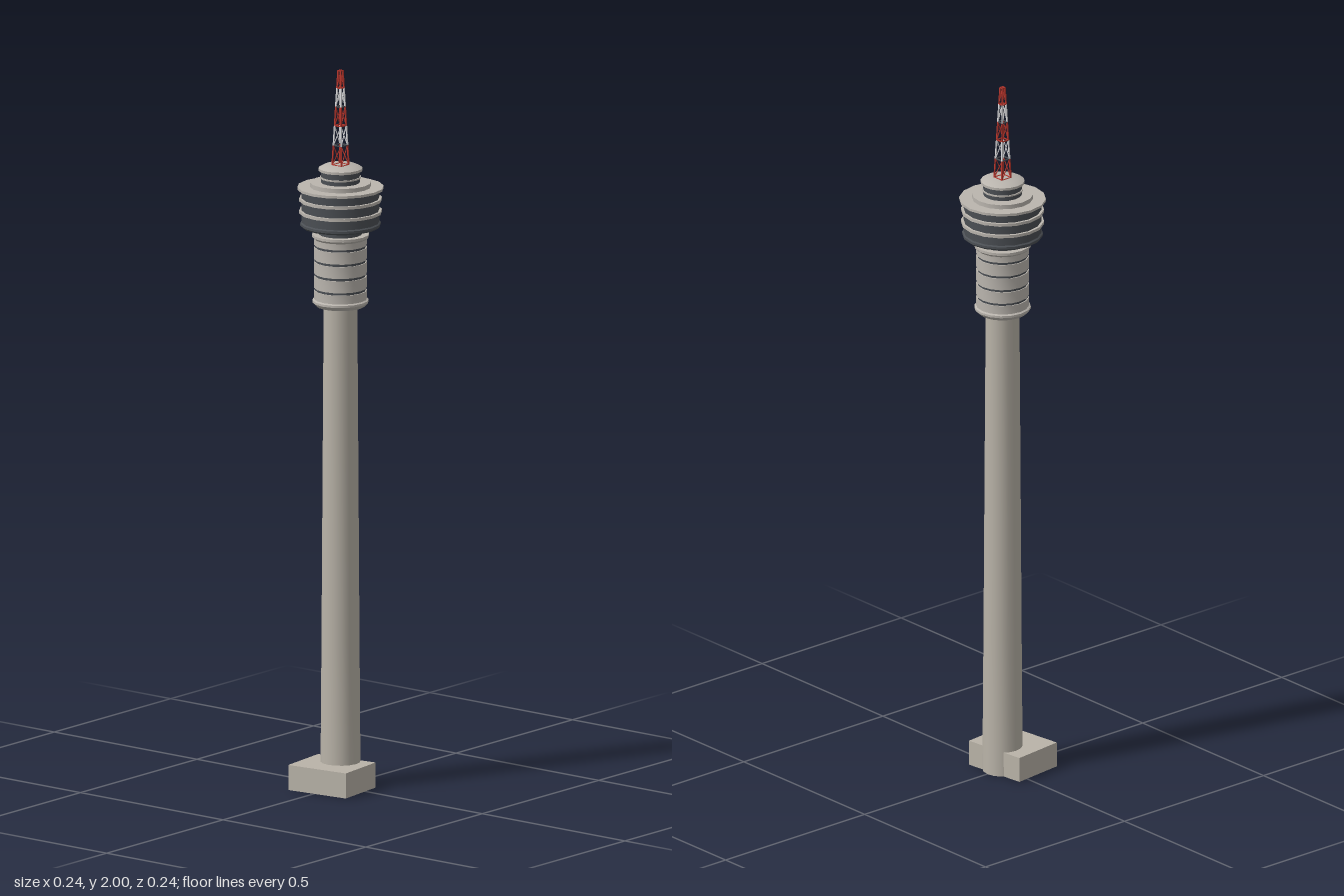
import * as THREE from 'three';
import { toCreasedNormals } from 'three/addons/utils/BufferGeometryUtils.js';

const makeMat = (name, color) => {
  const m = new THREE.MeshStandardMaterial({ color });
  m.name = name;
  return m;
};

export function createModel() {
  const concrete = makeMat('concrete', 0xb9b3a8);
  const panel = makeMat('pale panel', 0xbab5ae);
  const glass = makeMat('dark glass', 0x4b4f54);
  const red = makeMat('mast red', 0xb5352c);
  const white = makeMat('mast white', 0xd9d9dc);

  const model = new THREE.Group();
  model.name = 'tower';
  const tower = new THREE.Group();
  tower.name = 'towerBody';
  tower.position.z = -0.004;
  model.add(tower);

  // Sixteen-sided turned part from [radius, height] pairs, bottom to top
  const turned = (name, mat, profile) => {
    const pts = profile.map(([r, y]) => new THREE.Vector2(r, y));
    const mesh = new THREE.Mesh(toCreasedNormals(new THREE.LatheGeometry(pts, 16), 0.5), mat);
    mesh.name = name;
    tower.add(mesh);
  };
  const drum = (name, mat, r, y0, y1, rTop = r) =>
    turned(name, mat, [[0, y0], [r, y0], [rTop, y1], [0, y1]]);

  // Entrance building, slightly turned
  const base = new THREE.Mesh(new THREE.BoxGeometry(0.185, 0.07, 0.151), concrete);
  base.name = 'baseBuilding';
  base.position.set(0.001, 0.035, 0.034);
  base.rotation.y = 0.119;
  model.add(base);

  // Tapered shaft
  turned('shaft', concrete, [[0, 0], [0.055, 0], [0.052, 0.4], [0.046, 1.35], [0, 1.35]]);

  // Lower pod: five pale bands around a dark core
  drum('lowerPodCore', glass, 0.069, 1.36, 1.53);
  turned('lowerPodFoot', panel, [[0, 1.342], [0.066, 1.342], [0.077, 1.353], [0.077, 1.359],
    [0.072, 1.362], [0.072, 1.386], [0, 1.386]]);
  for (let i = 0; i < 3; i++) drum('lowerPodBand', panel, 0.072, 1.393 + i * 0.04, 1.426 + i * 0.04);
  turned('lowerPodRim', panel, [[0, 1.513], [0.072, 1.513], [0.072, 1.53], [0.078, 1.536],
    [0.078, 1.543], [0, 1.543]]);
  drum('neck', glass, 0.059, 1.54, 1.57);

  // Main pod: dark window drum with pale rings and a broad roof
  turned('mainPodWindows', glass, [[0, 1.563], [0.105, 1.563], [0.11, 1.568], [0.11, 1.574],
    [0.106, 1.577], [0.106, 1.668], [0, 1.668]]);
  for (const y of [1.602, 1.636]) drum('mainPodRing', panel, 0.113, y, y + 0.008);
  drum('mainPodRoof', panel, 0.118, 1.668, 1.675);
  drum('roofStep', panel, 0.083, 1.675, 1.687);

  // Upper cabin with bevelled cap
  drum('cabinWindows', glass, 0.053, 1.687, 1.722);
  drum('cabinRing', panel, 0.056, 1.699, 1.703);
  turned('cabinCap', panel, [[0, 1.72], [0.06, 1.72], [0.06, 1.727], [0.045, 1.735], [0, 1.735]]);

  // Lattice mast in alternating red and white stages
  const mast = new THREE.Group();
  mast.name = 'latticeMast';
  tower.add(mast);
  const up = new THREE.Vector3(0, 1, 0);
  const bar = (name, a, b, t, mat) => {
    const d = b.clone().sub(a);
    const mesh = new THREE.Mesh(new THREE.BoxGeometry(t, d.length(), t), mat);
    mesh.name = name;
    mesh.position.copy(a).add(b).multiplyScalar(0.5);
    mesh.quaternion.setFromUnitVectors(up, d.normalize());
    mast.add(mesh);
  };
  const corner = (i, y) => {
    const h = THREE.MathUtils.mapLinear(y, 1.733, 2, 0.016, 0.0045);
    const [sx, sz] = [[1, 1], [1, -1], [-1, -1], [-1, 1]][i % 4];
    return new THREE.Vector3(sx * h, y, sz * h);
  };
  const levels = [1.735, 1.79, 1.845, 1.898, 1.95, 1.999];
  for (let s = 0; s < 5; s++) {
    const mat = s % 2 ? white : red;
    for (let i = 0; i < 4; i++) {
      bar('mastLeg', corner(i, levels[s]), corner(i, levels[s + 1]), 0.0035, mat);
      bar('mastRail', corner(i, levels[s]), corner(i + 1, levels[s]), 0.003, s % 2 ? glass : red);
      bar('mastBrace', corner(i, levels[s]), corner(i + 1, levels[s + 1]), 0.002, mat);
    }
  }
  for (let i = 0; i < 4; i++) bar('mastTopRail', corner(i, 1.998), corner(i + 1, 1.998), 0.003, red);

  return model;
}
